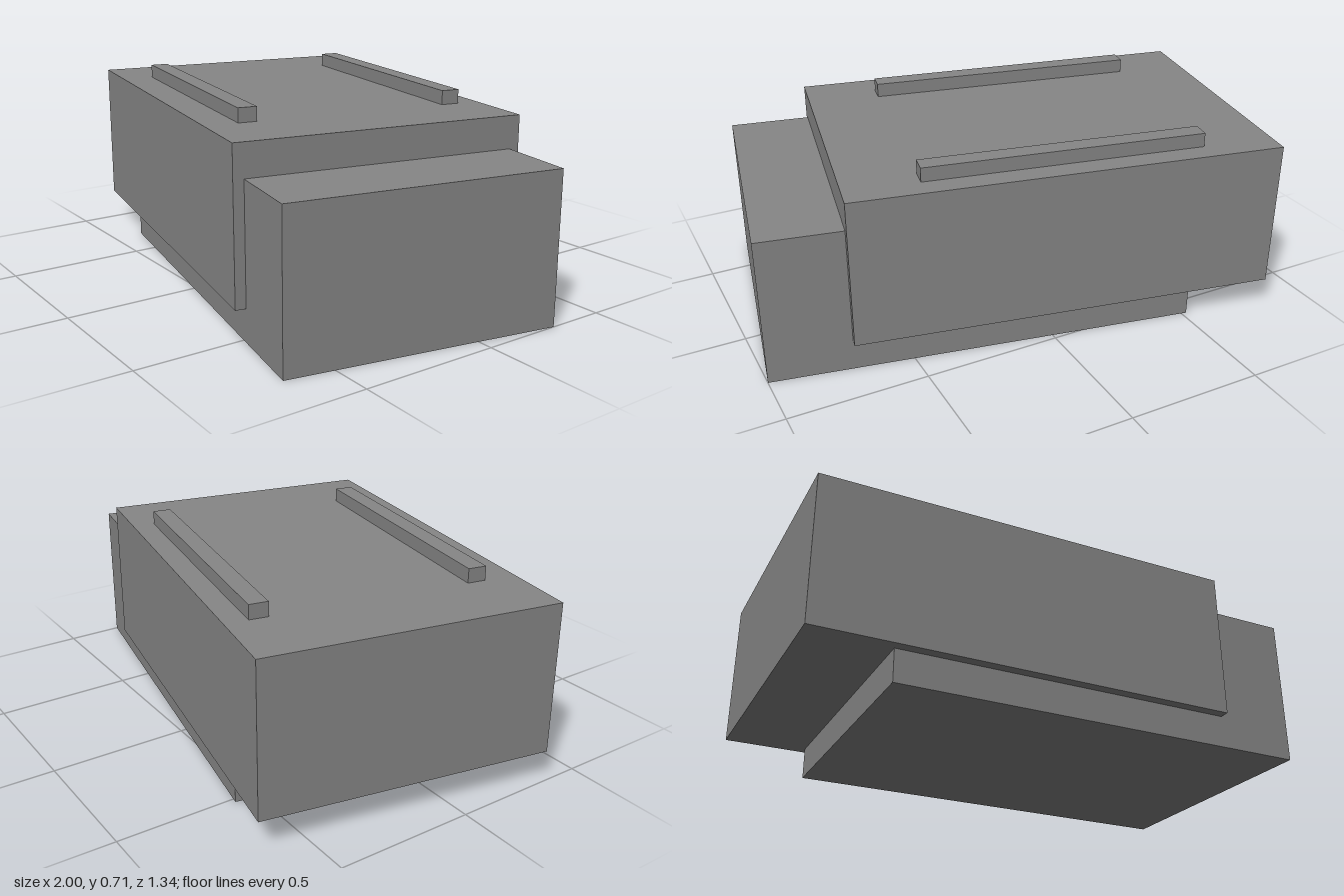
import * as THREE from 'three';

export function createModel() {
  const model = new THREE.Group();
  const material = new THREE.MeshStandardMaterial({ color: 0x868686 });
  const turn = -0.189; // every block shares the same turn about y

  function block(name, length, width, bottom, top, x, z) {
    const mesh = new THREE.Mesh(new THREE.BoxGeometry(length, top - bottom, width), material);
    mesh.name = name;
    mesh.position.set(x, (bottom + top) / 2, z);
    mesh.rotation.y = turn;
    model.add(mesh);
  }

  // Two overlapping main blocks
  block('lowerBlock', 1.546, 0.975, 0, 0.543, 0.149, 0.045);
  block('upperBlock', 1.546, 1.047, 0.117, 0.66, -0.143, -0.01);

  // Pair of rails on the roof
  block('frontRail', 1.016, 0.067, 0.66, 0.711, -0.213, 0.354);
  block('backRail', 1.016, 0.067, 0.66, 0.711, -0.065, -0.411);

  return model;
}
